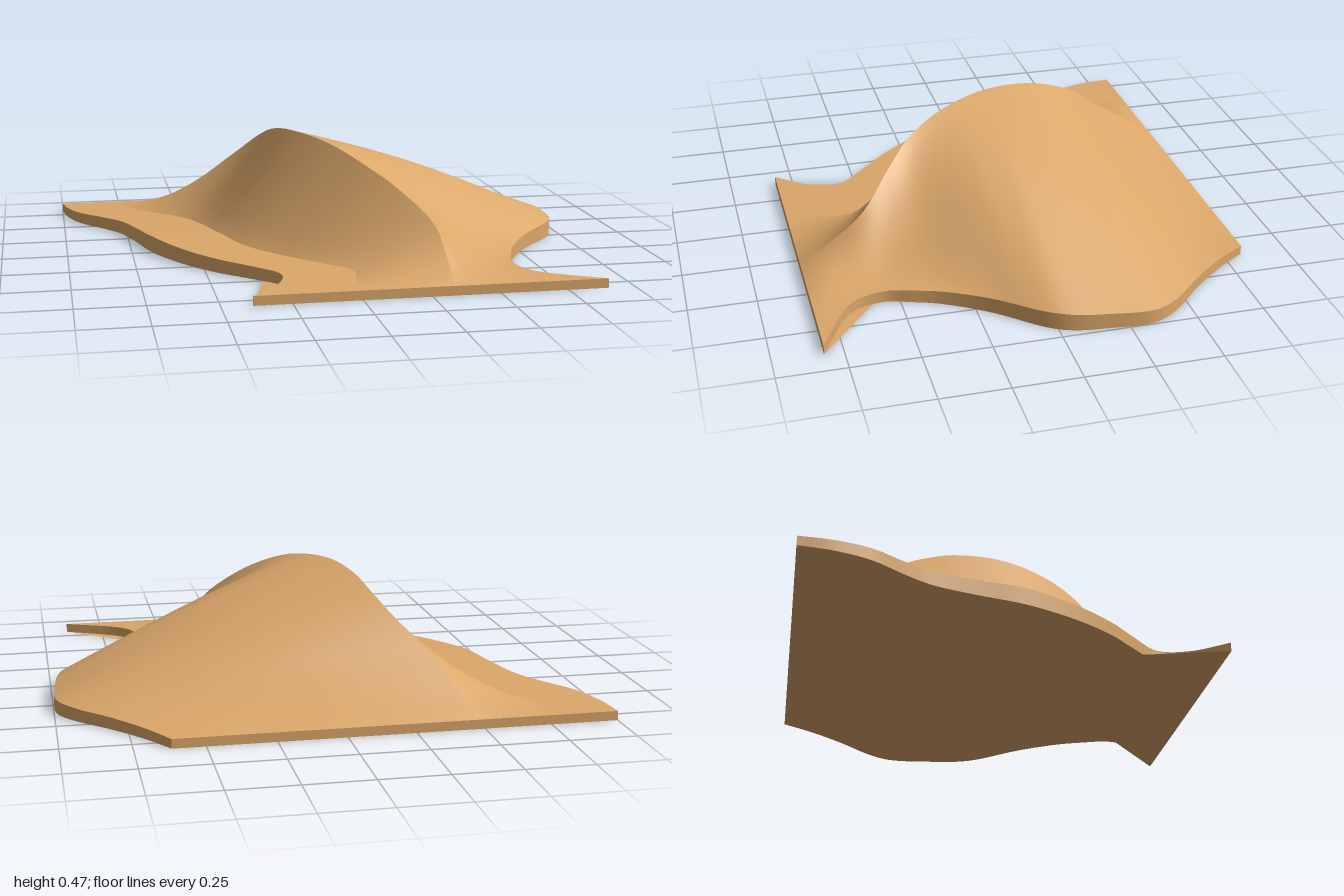
import * as THREE from 'three';

// Stations along z, with the plan lines and crest height at each one
const Z = [-0.82, -0.7, -0.57, -0.45, -0.35, -0.2, 0, 0.2, 0.35, 0.45, 0.57, 0.7, 0.82];
const LEFT = [-1, -0.98, -0.93, -0.84, -0.775, -0.725, -0.67, -0.57, -0.46, -0.36, -0.255, -0.285, -0.39];
const TOE = [-0.78, -0.74, -0.67, -0.57, -0.5, -0.45, -0.4, -0.32, -0.2, -0.1, 0.01, 0.0, 0.0];
const CREST = [-0.48, -0.43, -0.37, -0.265, -0.205, -0.16, -0.1, 0, 0.1, 0.2, 0.31, 0.33, 0.33];
const RIGHT = [0.62, 0.7, 0.81, 0.93, 0.99, 0.99, 0.95, 0.785, 0.69, 0.65, 0.62, 0.68, 0.9];
const HEIGHT = [0.035, 0.11, 0.21, 0.32, 0.39, 0.445, 0.465, 0.445, 0.39, 0.32, 0.21, 0.11, 0.035];

// Smooth cubic interpolation of a station table
function at(table, z) {
  let i = 0;
  while (i < Z.length - 2 && z > Z[i + 1]) i++;
  const slope = (k) => {
    const a = Math.max(k - 1, 0), b = Math.min(k + 1, Z.length - 1);
    return (table[b] - table[a]) / (Z[b] - Z[a]);
  };
  const d = Z[i + 1] - Z[i], t = (z - Z[i]) / d, t2 = t * t, t3 = t2 * t;
  return (2 * t3 - 3 * t2 + 1) * table[i] + (t3 - 2 * t2 + t) * d * slope(i)
    + (3 * t2 - 2 * t3) * table[i + 1] + (t3 - t2) * d * slope(i + 1);
}

const rim = (z) => 0.035 + 0.03 * (1 - Math.abs(z) / 0.82);
const mix = THREE.MathUtils.lerp;

// Surface strip: point(z, u) sampled over the length of the dune
function strip(point, cols, rows = 72) {
  const pos = [], index = [];
  for (let i = 0; i <= rows; i++) {
    for (let j = 0; j <= cols; j++) pos.push(...point(mix(-0.82, 0.82, i / rows), j / cols));
  }
  for (let i = 0; i < rows; i++) {
    for (let j = 0; j < cols; j++) {
      const a = i * (cols + 1) + j, b = a + cols + 1;
      index.push(a, b, a + 1, b, b + 1, a + 1);
    }
  }
  const g = new THREE.BufferGeometry();
  g.setAttribute('position', new THREE.Float32BufferAttribute(pos, 3));
  g.setIndex(index);
  g.computeVertexNormals();
  return g;
}

export function createModel() {
  const group = new THREE.Group();
  const sand = new THREE.MeshStandardMaterial({ color: 0xdba76a, side: THREE.DoubleSide });
  sand.name = 'sand';
  const add = (name, geometry) => {
    const mesh = new THREE.Mesh(geometry, sand);
    mesh.name = name;
    group.add(mesh);
  };

  // Flat apron in front of the steep face
  add('apron', strip((z, u) => [mix(at(LEFT, z), at(TOE, z), u), rim(z), z], 4));

  // Steep slip face from toe to crest
  add('slipFace', strip((z, u) => [
    mix(at(TOE, z), at(CREST, z), u),
    mix(rim(z), at(HEIGHT, z), Math.pow(u, 1.15)), z], 12));

  // Long windward slope, bulging in the middle and hollow towards the front
  add('windwardSlope', strip((z, u) => {
    const hollow = THREE.MathUtils.smoothstep(z, 0.1, 0.6);
    const bulge = 1 - u + 0.1 * Math.sin(Math.PI * u) * (1 - Math.abs(z));
    const fall = mix(bulge, Math.pow(1 - u, 2), hollow);
    return [mix(at(CREST, z), at(RIGHT, z), u), mix(rim(z), at(HEIGHT, z), fall), z];
  }, 24));

  // Side walls of the base
  add('leftWall', strip((z, u) => [at(LEFT, z), rim(z) * u, z], 1));
  add('rightWall', strip((z, u) => [at(RIGHT, z), rim(z) * (1 - u), z], 1));

  // End walls of the base
  for (const [name, z] of [['backWall', -0.82], ['frontWall', 0.82]]) {
    const l = at(LEFT, z), r = at(RIGHT, z);
    const wall = new THREE.PlaneGeometry(r - l, 0.035);
    if (z < 0) wall.rotateY(Math.PI);
    add(name, wall.translate((l + r) / 2, 0.0175, z));
  }

  // Underside, with straight cut corners at the front
  const outline = [];
  for (let i = 0; i <= 40; i++) {
    const z = mix(-0.82, 0.5, i / 40);
    outline.push(new THREE.Vector2(at(LEFT, z), z));
  }
  outline.push(new THREE.Vector2(-0.39, 0.82), new THREE.Vector2(0.9, 0.82));
  for (let i = 0; i <= 40; i++) {
    const z = mix(0.6, -0.82, i / 40);
    outline.push(new THREE.Vector2(at(RIGHT, z), z));
  }
  add('underside', new THREE.ShapeGeometry(new THREE.Shape(outline)).rotateX(Math.PI / 2));

  return group;
}
